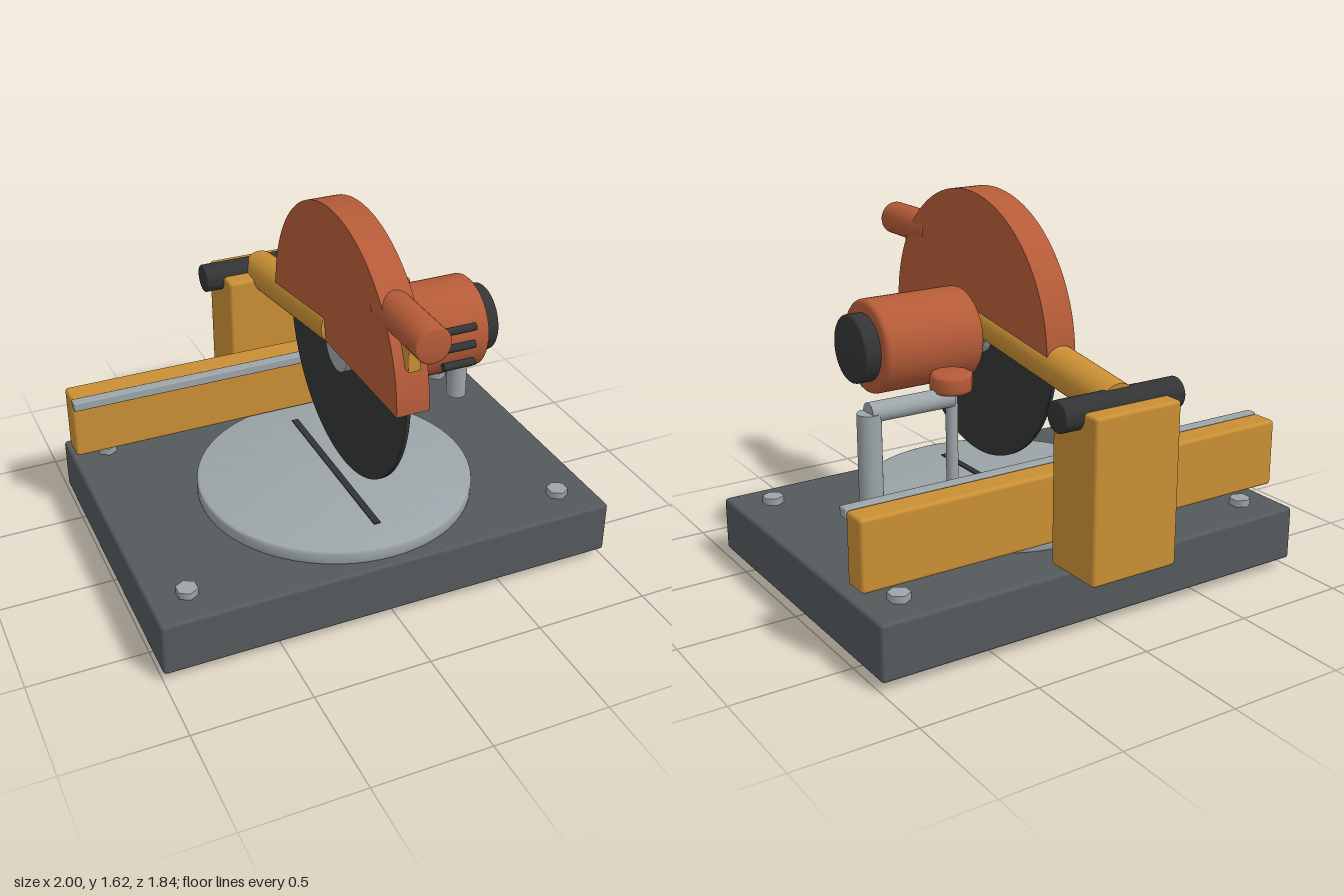
import * as THREE from 'three';
import { toCreasedNormals } from 'three/addons/utils/BufferGeometryUtils.js';
import { RoundedBoxGeometry } from 'three/addons/geometries/RoundedBoxGeometry.js';

const paint = (name, color) => {
  const m = new THREE.MeshStandardMaterial({ color });
  m.name = name;
  return m;
};

export function createModel() {
  const model = new THREE.Group();
  model.name = 'mitreSaw';
  const slate = paint('slate grey', 0x54595c);
  const black = paint('dark grey', 0x333435);
  const red = paint('rust red', 0xb55b38);
  const yellow = paint('amber', 0xc98f34);
  const steel = paint('steel', 0x9ca5a9);

  const add = (name, geometry, material, x = 0, y = 0, z = 0) => {
    const mesh = new THREE.Mesh(geometry, material);
    mesh.name = name;
    mesh.position.set(x, y, z);
    model.add(mesh);
    return mesh;
  };

  // Rounded box given by its limits on each axis
  const box = (name, material, [x0, x1], [y0, y1], [z0, z1], r = 0.015) =>
    add(name, new RoundedBoxGeometry(x1 - x0, y1 - y0, z1 - z0, 2, r), material,
      (x0 + x1) / 2, (y0 + y1) / 2, (z0 + z1) / 2);

  // Cylinder between two points, with an optional bevel on both rims
  const rod = (name, material, from, to, r, bevel = 0, sides = 40) => {
    const a = new THREE.Vector3(...from), b = new THREE.Vector3(...to);
    const h = a.distanceTo(b) / 2;
    let geometry;
    if (bevel) {
      const profile = [new THREE.Vector2(0, -h)];
      for (const s of [-1, 1]) {
        for (let i = 0; i <= 3; i++) {
          const t = (s < 0 ? i : 3 - i) / 3 * Math.PI / 2;
          profile.push(new THREE.Vector2(
            r - bevel + bevel * Math.sin(t), s * (h - bevel + bevel * Math.cos(t))));
        }
      }
      profile.push(new THREE.Vector2(0, h));
      geometry = toCreasedNormals(new THREE.LatheGeometry(profile, sides), 0.7);
    } else {
      geometry = new THREE.CylinderGeometry(r, r, h * 2, sides);
    }
    const mesh = add(name, geometry, material);
    mesh.position.addVectors(a, b).multiplyScalar(0.5);
    mesh.quaternion.setFromUnitVectors(new THREE.Vector3(0, 1, 0), b.sub(a).normalize());
    return mesh;
  };

  // Base with feet and hexagonal bolts
  box('base', slate, [-1, 1], [0.04, 0.275], [-0.735, 0.7]);
  for (const x of [-0.84, 0.84]) {
    for (const z of [-0.58, 0.54]) {
      rod('foot', black, [x, 0, z], [x, 0.05, z], 0.087, 0.01, 28);
      rod('bolt', steel, [x, 0.27, z], [x, 0.305, z], 0.046, 0, 6);
    }
  }

  // Turntable and its cutting slot
  rod('turntable', steel, [0, 0.27, 0.06], [0, 0.335, 0.06], 0.597, 0.012, 72);
  add('slot', new THREE.BoxGeometry(0.03, 0.008, 0.88), black, 0, 0.336, 0.06);

  // Fence with a steel strip along its upper front edge
  box('fence', yellow, [-1, 1], [0.338, 0.632], [-0.598, -0.482]);
  box('fenceStrip', steel, [-1, 1], [0.595, 0.635], [-0.482, -0.435], 0.005);

  // Rear post, hinge pin and swing arm
  box('rearPost', yellow, [-0.2, 0.2], [0.28, 0.955], [-0.918, -0.642]);
  rod('hingePin', black, [-0.28, 0.938, -0.782], [0.28, 0.938, -0.782], 0.063, 0.006);
  rod('swingArm', yellow, [0, 0.938, -0.778], [0, 1.068, 0.12], 0.084);

  // Blade, hub and half-round guard
  const [cy, cz] = [1.02, 0.182];
  rod('blade', black, [-0.008, cy, cz], [0.008, cy, cz], 0.562, 0, 96);
  rod('hub', steel, [-0.045, cy, cz], [0.045, cy, cz], 0.11);
  const half = new THREE.Shape();
  half.absarc(0, 0, 0.597, 0, Math.PI);
  half.closePath();
  const guardGeometry = new THREE.ExtrudeGeometry(half,
    { depth: 0.136, bevelEnabled: false, curveSegments: 64 });
  guardGeometry.translate(0, 0, -0.068).rotateY(Math.PI / 2);
  add('guard', toCreasedNormals(guardGeometry, 0.5), red, 0, cy, cz);

  // Handle and its bracket
  rod('handle', red, [0, 1.377, 0.545], [0, 1.377, 0.92], 0.073, 0.008);
  box('handleBracket', yellow, [-0.025, 0.025], [1.2, 1.4], [0.64, 0.78], 0.004);

  // Motor with end cap and vents
  rod('motor', red, [0.1, cy - 0.003, cz], [0.558, cy - 0.003, cz], 0.197, 0.022, 56);
  rod('motorCap', black, [0.55, cy - 0.003, cz], [0.628, cy - 0.003, cz], 0.143, 0.01);
  for (const y of [0.937, 1.017, 1.097]) {
    rod('vent', black, [0.337, y, 0.388], [0.477, y, 0.388], 0.017, 0, 16);
  }

  // Hold-down clamp
  const clampZ = -0.3;
  rod('clampPost', steel, [0.797, 0.335, clampZ], [0.797, 0.914, clampZ], 0.047);
  rod('clampArm', steel, [0.44, 0.914, clampZ], [0.8, 0.914, clampZ], 0.04);
  rod('clampSpindle', steel, [0.437, 0.49, clampZ], [0.437, 0.95, clampZ], 0.024);
  rod('clampPad', black, [0.437, 0.47, clampZ], [0.437, 0.515, clampZ], 0.081, 0.008);
  rod('clampKnob', red, [0.437, 0.936, clampZ], [0.437, 1.015, clampZ], 0.086, 0.018, 10);

  return model;
}
